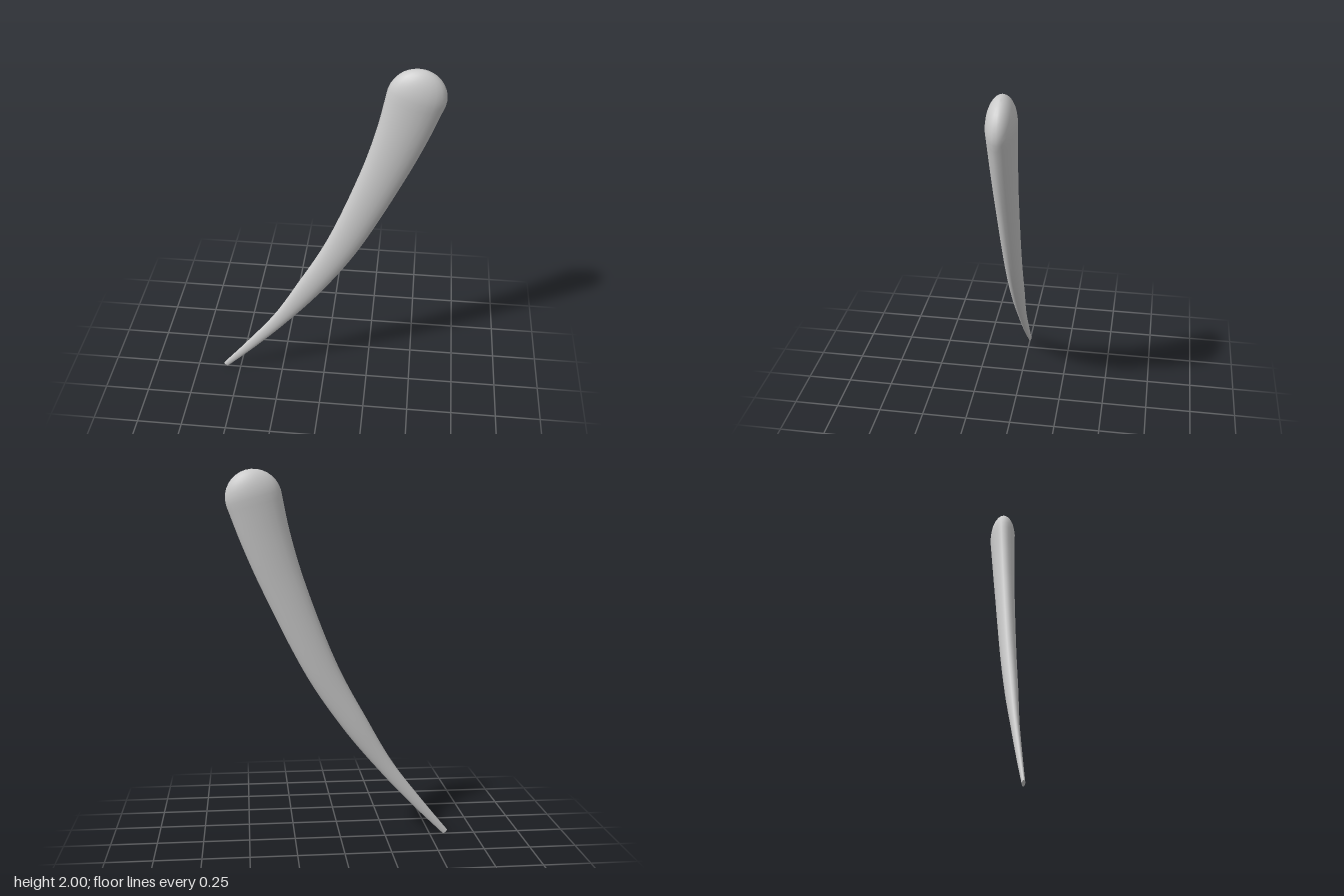
import * as THREE from 'three';

const SIDES = 20, BODY = 40, CAP = 8, FLATNESS = 0.5;

// Loft of elliptical rings along a bent centre line, closed by a domed end
function taperedHorn() {
  // centre x, centre y, half width across the bend
  const stations = [
    [-0.587, 0.012, 0.016], [-0.43, 0.185, 0.029], [-0.25, 0.4, 0.043], [-0.083, 0.64, 0.068],
    [0.097, 0.94, 0.087], [0.3, 1.4, 0.112], [0.39, 1.65, 0.13], [0.449, 1.855, 0.147],
  ];
  const path = new THREE.CatmullRomCurve3(stations.map(([x, y]) => new THREE.Vector3(x, y, 0)));
  const widths = new THREE.CatmullRomCurve3(stations.map(([x, y, w]) => new THREE.Vector3(w, 0, 0)));

  const rings = [];
  for (let i = 0; i <= BODY; i++) {
    const t = i / BODY;
    rings.push({ c: path.getPoint(t), r: widths.getPoint(t).x, d: path.getTangent(t) });
  }
  // Rounded thick end
  const end = rings[BODY];
  for (let i = 1; i <= CAP; i++) {
    const a = (i / CAP) * Math.PI / 2;
    const c = end.c.clone().addScaledVector(end.d, end.r * Math.sin(a));
    rings.push({ c, r: Math.max(end.r * Math.cos(a), 1e-4), d: end.d });
  }

  const pos = [], index = [];
  rings.forEach(({ c, r, d }, i) => {
    for (let j = 0; j < SIDES; j++) {
      const a = (j / SIDES) * Math.PI * 2;
      const u = Math.cos(a) * r, v = Math.sin(a) * r * FLATNESS;
      pos.push(c.x + d.y * u, c.y - d.x * u, v);
      if (i === 0) continue;
      const k = (j + 1) % SIDES, lo = (i - 1) * SIDES, hi = i * SIDES;
      index.push(lo + j, hi + j, lo + k, lo + k, hi + j, hi + k);
    }
  });

  // Flat cut at the thin tip, with its own vertices for a sharp rim
  const base = pos.length / 3;
  pos.push(...rings[0].c.toArray(), ...pos.slice(0, SIDES * 3));
  for (let j = 0; j < SIDES; j++) index.push(base, base + 1 + j, base + 1 + (j + 1) % SIDES);

  const geo = new THREE.BufferGeometry();
  geo.setAttribute('position', new THREE.Float32BufferAttribute(pos, 3));
  geo.setIndex(index);
  geo.computeVertexNormals();
  return geo;
}

export function createModel() {
  const group = new THREE.Group();
  group.name = 'curvedHorn';
  const horn = new THREE.Mesh(taperedHorn(), new THREE.MeshStandardMaterial({ color: 0xcccccc }));
  horn.name = 'horn';
  group.add(horn);
  return group;
}
